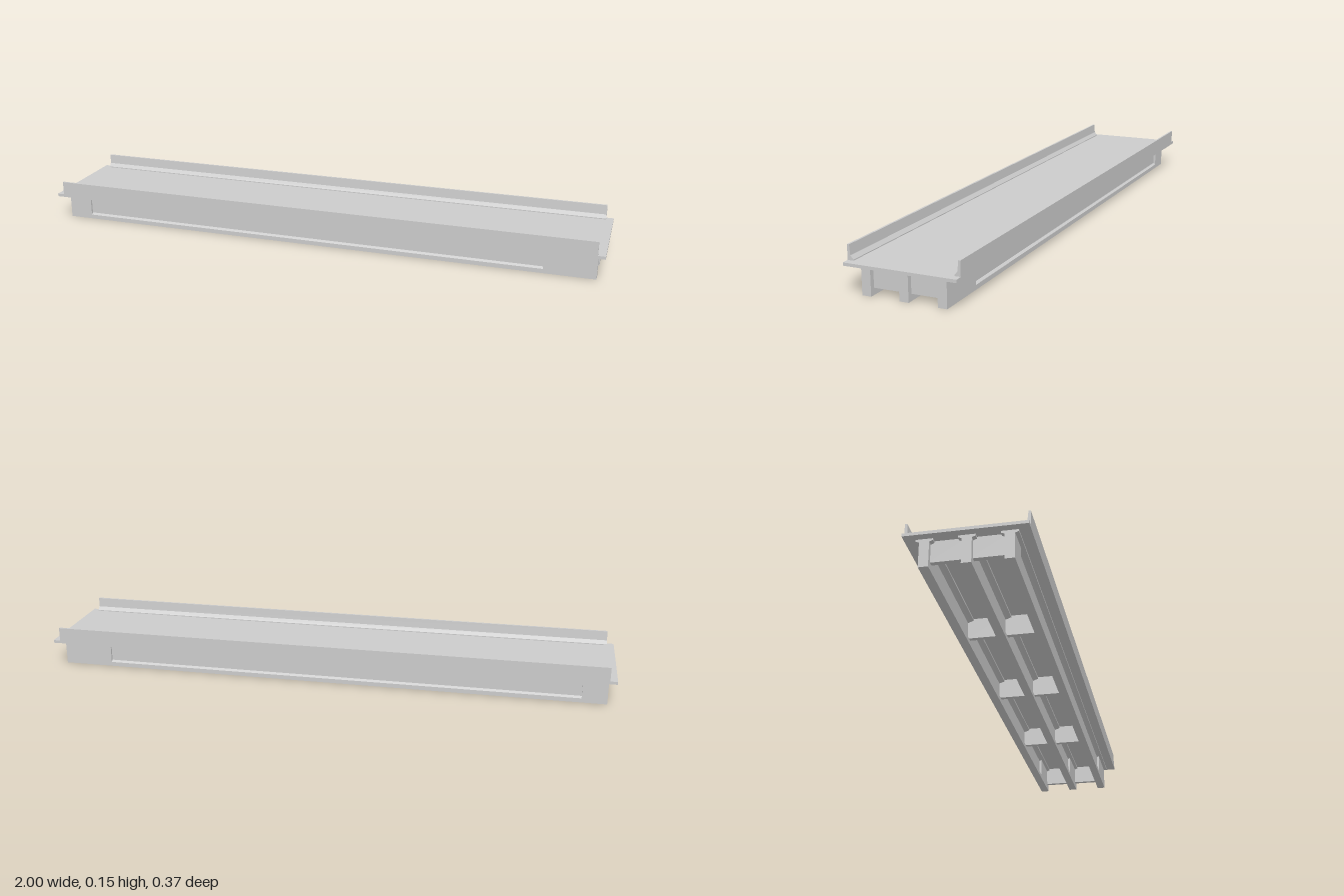
import * as THREE from 'three';

const material = new THREE.MeshStandardMaterial({ color: 0xcccccc, flatShading: true });

// Extrude a [z, y] cross-section along x between x0 and x1.
function beam(name, profile, x0, x1) {
  const shape = new THREE.Shape(profile.map(([z, y]) => new THREE.Vector2(-z, y)));
  const geometry = new THREE.ExtrudeGeometry(shape, { depth: x1 - x0, bevelEnabled: false });
  geometry.rotateY(Math.PI / 2).translate(x0, 0, 0);
  const mesh = new THREE.Mesh(geometry, material);
  mesh.name = name;
  return mesh;
}

function box(name, w, h, d, x, y, z) {
  const mesh = new THREE.Mesh(new THREE.BoxGeometry(w, h, d), material);
  mesh.name = name;
  mesh.position.set(x, y, z);
  return mesh;
}

// Complete a half profile by mirroring it across z = 0.
const mirrored = (half) => [...half, ...half.map(([z, y]) => [-z, y]).reverse()];

// Girder: solid ends with a thin-webbed I-section between them.
function makeGirder(name, z) {
  const solid = mirrored([[0.015, 0], [0.015, 0.082], [0.026, 0.086], [0.026, 0.092]]);
  const webbed = mirrored([
    [0.015, 0], [0.015, 0.015], [0.007, 0.021], [0.007, 0.079],
    [0.015, 0.082], [0.026, 0.086], [0.026, 0.092],
  ]);
  const girder = new THREE.Group();
  girder.name = name;
  girder.add(
    beam('endBlockRight', solid, -0.975, -0.89),
    beam('webSection', webbed, -0.89, 0.8),
    beam('endBlockLeft', solid, 0.8, 0.975),
  );
  girder.position.z = z;
  return girder;
}

export function createModel() {
  const model = new THREE.Group();
  model.name = 'bridgeSpan';

  // Deck slab
  model.add(box('deck', 2, 0.01, 0.37, 0, 0.097, 0));

  // Parapets with a sloped inner foot
  const parapet = [[0.185, 0.102], [0.165, 0.102], [0.165, 0.105], [0.175, 0.117], [0.178, 0.15], [0.185, 0.15]];
  for (const s of [1, -1]) {
    model.add(beam(s > 0 ? 'frontParapet' : 'backParapet', parapet.map(([z, y]) => [s * z, y]), -0.975, 0.975));
  }

  // Three parallel girders
  model.add(makeGirder('frontGirder', 0.125), makeGirder('middleGirder', 0), makeGirder('backGirder', -0.125));

  // Cross diaphragms joining the girder webs in both bays
  for (let i = -2; i <= 2; i++) {
    for (const s of [1, -1]) {
      model.add(box('diaphragm', 0.016, 0.07, 0.113, i * 0.475, 0.057, s * 0.0625));
    }
  }
  return model;
}
